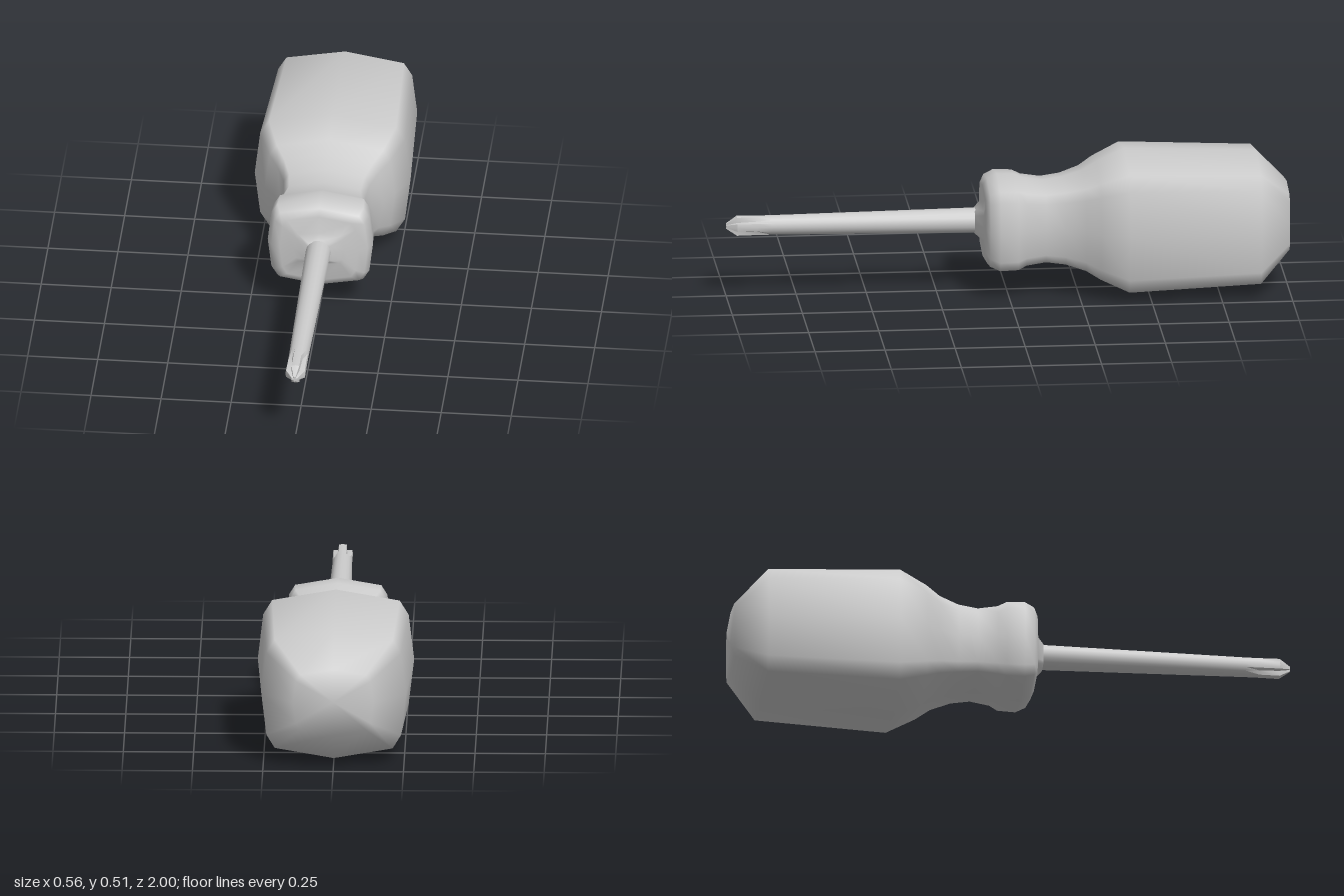
import * as THREE from 'three';
import { toCreasedNormals } from 'three/addons/utils/BufferGeometryUtils.js';

const AXIS_Y = 0.256;

// Skin a stack of counter-clockwise loops running towards +z, capped at both ends.
function skin(loops) {
  const n = loops[0].length;
  const pos = loops.flat(2);
  const idx = [];
  for (let i = 0; i < loops.length - 1; i++) {
    for (let j = 0; j < n; j++) {
      const k = (j + 1) % n;
      const a = i * n + j, b = i * n + k;
      idx.push(a, b, b + n, a, b + n, a + n);
    }
  }
  const last = (loops.length - 1) * n;
  const c0 = loops.length * n, c1 = c0 + 1;
  pos.push(0, 0, loops[0][0][2], 0, 0, loops[loops.length - 1][0][2]);
  for (let j = 0; j < n; j++) {
    const k = (j + 1) % n;
    idx.push(c0, k, j, c1, last + j, last + k);
  }
  const geo = new THREE.BufferGeometry();
  geo.setAttribute('position', new THREE.Float32BufferAttribute(pos, 3));
  geo.setIndex(idx);
  geo.computeVertexNormals();
  return geo;
}

function makeHandle() {
  // Twelve-sided rounded box section, scaled to each half width and height
  const quarter = [[1, 0], [0.93, 0.64], [0.815, 0.845], [0, 1]];
  const upper = [...quarter, [-0.815, 0.845], [-0.93, 0.64]];
  const section = [...upper, ...upper.map(([x, y]) => [-x, -y])];
  // z, half width, half height
  const stations = [
    [-1, 0.143, 0.12],
    [-0.89, 0.257, 0.236],
    [-0.42, 0.278, 0.255],
    [-0.32, 0.232, 0.208],
    [-0.27, 0.195, 0.178],
    [-0.2, 0.165, 0.156],
    [-0.13, 0.157, 0.146],
    [-0.06, 0.168, 0.156],
    [-0.03, 0.184, 0.17],
    [0.035, 0.188, 0.172],
    [0.07, 0.172, 0.156],
    [0.085, 0.14, 0.13],
    [0.087, 0.09, 0.065],
    [0.115, 0.045, 0.045],
  ];
  return skin(stations.map(([z, w, h]) => section.map(([x, y]) => [x * w, y * h, z])));
}

function makeBlade() {
  const sides = 16;
  // z, radius, depth of the four diagonal flutes as a fraction of the radius
  const stations = [
    [0.1, 0.045, 0],
    [0.84, 0.035, 0],
    [0.89, 0.035, 0.25],
    [0.962, 0.036, 0.45],
    [1, 0.01, 0.45],
  ];
  const loops = stations.map(([z, r, flute]) =>
    Array.from({ length: sides }, (_, j) => {
      const t = (j / sides) * Math.PI * 2;
      const rr = j % 4 === 2 ? r * (1 - flute) : r;
      return [Math.cos(t) * rr, Math.sin(t) * rr, z];
    }));
  return toCreasedNormals(skin(loops), 0.5);
}

export function createModel() {
  const group = new THREE.Group();
  group.name = 'screwdriver';
  const material = new THREE.MeshStandardMaterial({ color: 0xcccccc });
  const add = (name, geo, y) => {
    const mesh = new THREE.Mesh(geo, material);
    mesh.name = name;
    mesh.position.y = y;
    group.add(mesh);
  };
  add('handle', makeHandle(), AXIS_Y);
  add('blade', makeBlade(), AXIS_Y + 0.003);
  return group;
}
